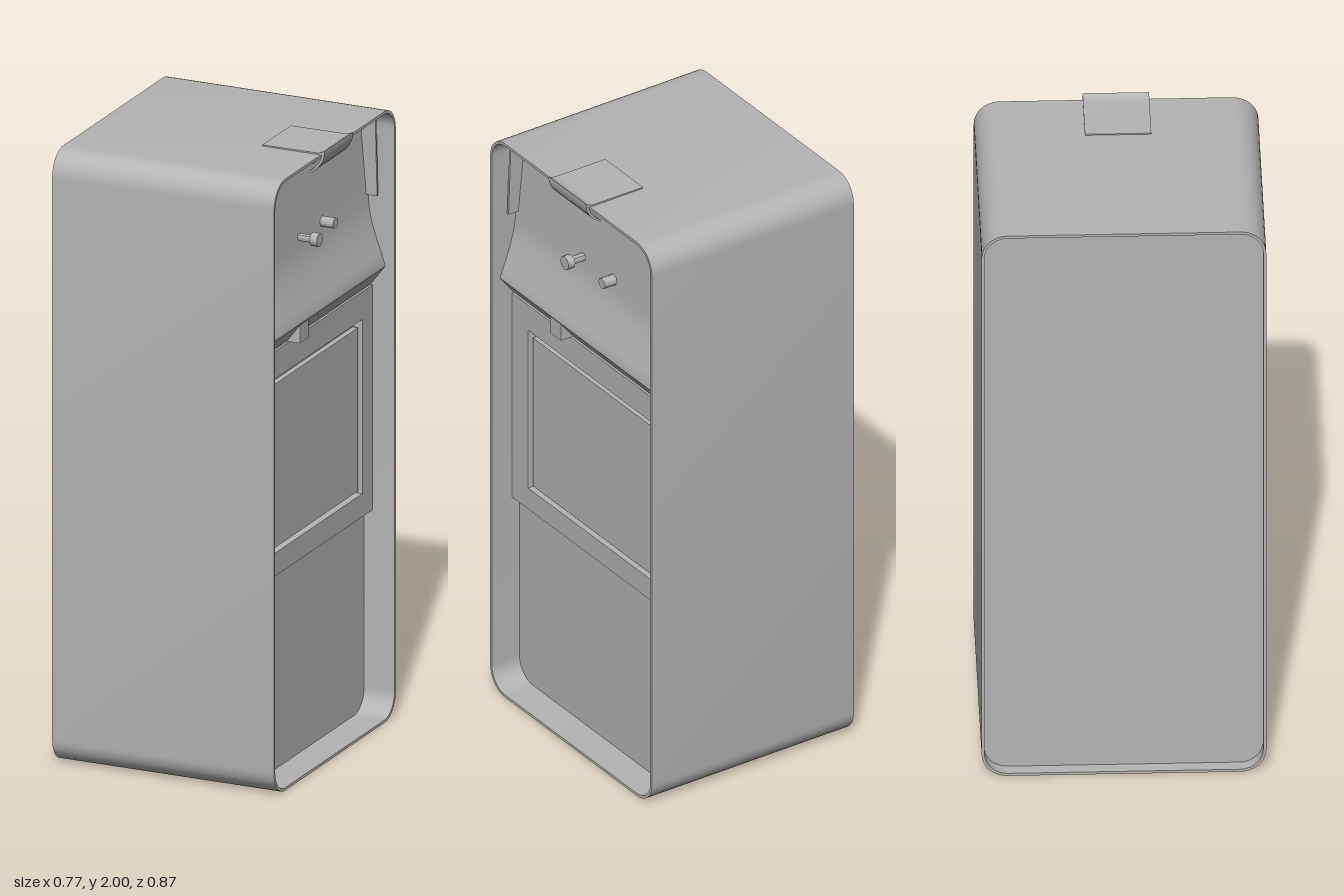
import * as THREE from 'three';
import { toCreasedNormals } from 'three/addons/utils/BufferGeometryUtils.js';

const grey = new THREE.MeshStandardMaterial({ color: 0xb4b4b4 });
grey.name = 'grey metal';
const greySheet = grey;
greySheet.side = THREE.DoubleSide;

// Rounded rectangle outline, half width w, from y0 to y1
function roundedRect(path, w, y0, y1, r) {
  path.moveTo(-w + r, y0);
  path.lineTo(w - r, y0);
  path.absarc(w - r, y0 + r, r, -Math.PI / 2, 0, false);
  path.lineTo(w, y1 - r);
  path.absarc(w - r, y1 - r, r, 0, Math.PI / 2, false);
  path.lineTo(-w + r, y1);
  path.absarc(-w + r, y1 - r, r, Math.PI / 2, Math.PI, false);
  path.lineTo(-w, y0 + r);
  path.absarc(-w + r, y0 + r, r, Math.PI, Math.PI * 1.5, false);
  return path;
}

// Extrude an outline drawn in z and y along the x axis
function alongX(shape, x0, x1) {
  const g = new THREE.ExtrudeGeometry(shape, { depth: x1 - x0, bevelEnabled: false, curveSegments: 5 });
  g.rotateY(Math.PI / 2).translate(x0, 0, 0);
  return toCreasedNormals(g, 0.5);
}

// Extrude a profile drawn in x and y across the width
function acrossZ(shape, halfWidth) {
  const g = new THREE.ExtrudeGeometry(shape, { depth: halfWidth * 2, bevelEnabled: false, curveSegments: 8 });
  g.translate(0, 0, -halfWidth);
  return toCreasedNormals(g, 0.5);
}

export function createModel() {
  const model = new THREE.Group();
  model.name = 'cabinet';
  const add = (name, geometry, x = 0, y = 0, z = 0) => {
    const mesh = new THREE.Mesh(geometry, grey);
    mesh.name = name;
    mesh.position.set(x, y, z);
    model.add(mesh);
    return mesh;
  };
  const box = (name, sx, sy, sz, x, y, z) => add(name, new THREE.BoxGeometry(sx, sy, sz), x, y, z);

  // Rounded sleeve, open at both x ends
  const sleeve = roundedRect(new THREE.Shape(), 0.437, 0.003, 1.985, 0.08);
  sleeve.holes.push(roundedRect(new THREE.Path(), 0.428, 0.012, 1.976, 0.072));
  add('outerShell', alongX(sleeve, -0.385, 0.368));

  // Core that closes the back and carries the control face
  add('core', alongX(roundedRect(new THREE.Shape(), 0.43, 0.01, 1.978, 0.074), -0.345, 0.265));

  // Upper console sweeping out to a hood, then sloping back in underneath
  const hood = new THREE.Shape();
  hood.moveTo(0.25, 1.39);
  hood.lineTo(0.285, 1.39);
  hood.lineTo(0.335, 1.455);
  hood.lineTo(0.335, 1.465);
  hood.bezierCurveTo(0.3, 1.56, 0.285, 1.6, 0.28, 1.66);
  hood.lineTo(0.266, 1.9);
  hood.lineTo(0.25, 1.9);
  add('consoleHood', acrossZ(hood, 0.43));
  box('latch', 0.07, 0.065, 0.06, 0.295, 1.422, 0.14);

  // Door with a framed, recessed pane
  const door = new THREE.Shape();
  door.moveTo(-0.43, 0.66);
  door.lineTo(0.43, 0.66);
  door.lineTo(0.43, 1.39);
  door.lineTo(-0.43, 1.39);
  door.closePath();
  const opening = new THREE.Path();
  opening.moveTo(-0.34, 0.735);
  opening.lineTo(-0.34, 1.3);
  opening.lineTo(0.355, 1.3);
  opening.lineTo(0.355, 0.735);
  opening.closePath();
  door.holes.push(opening);
  add('door', alongX(door, 0.26, 0.293));
  box('doorPane', 0.02, 0.53, 0.675, 0.273, 1.01, -0.008);

  // Knobs and lock on the console
  const knob = (name, r, length, x, y, z) => {
    const g = new THREE.CylinderGeometry(r, r, length, 8);
    g.rotateZ(Math.PI / 2);
    add(name, toCreasedNormals(g, 0.9), x, y, z);
  };
  knob('knobStem', 0.013, 0.07, 0.305, 1.695, 0.065);
  knob('knobCap', 0.023, 0.025, 0.335, 1.695, 0.065);
  knob('smallKnob', 0.018, 0.045, 0.3, 1.695, -0.1);
  knob('lock', 0.018, 0.04, 0.28, 1.935, 0.005);

  // Slim guide strips beside the console
  for (const side of [-1, 1]) {
    const strip = box('guideStrip', 0.05, 0.25, 0.008, 0.29, 1.81, side * 0.412);
    strip.rotation.x = -side * 0.05;
  }

  // Bent tab folded over the top front edge
  const tab = new THREE.Shape();
  tab.moveTo(0.17, 1.984);
  tab.lineTo(0.17, 1.989);
  tab.lineTo(0.35, 1.99);
  tab.quadraticCurveTo(0.37, 1.99, 0.382, 2.0);
  tab.quadraticCurveTo(0.382, 1.95, 0.33, 1.92);
  tab.lineTo(0.326, 1.925);
  tab.quadraticCurveTo(0.365, 1.95, 0.371, 1.984);
  add('topTab', acrossZ(tab, 0.102));

  return model;
}
